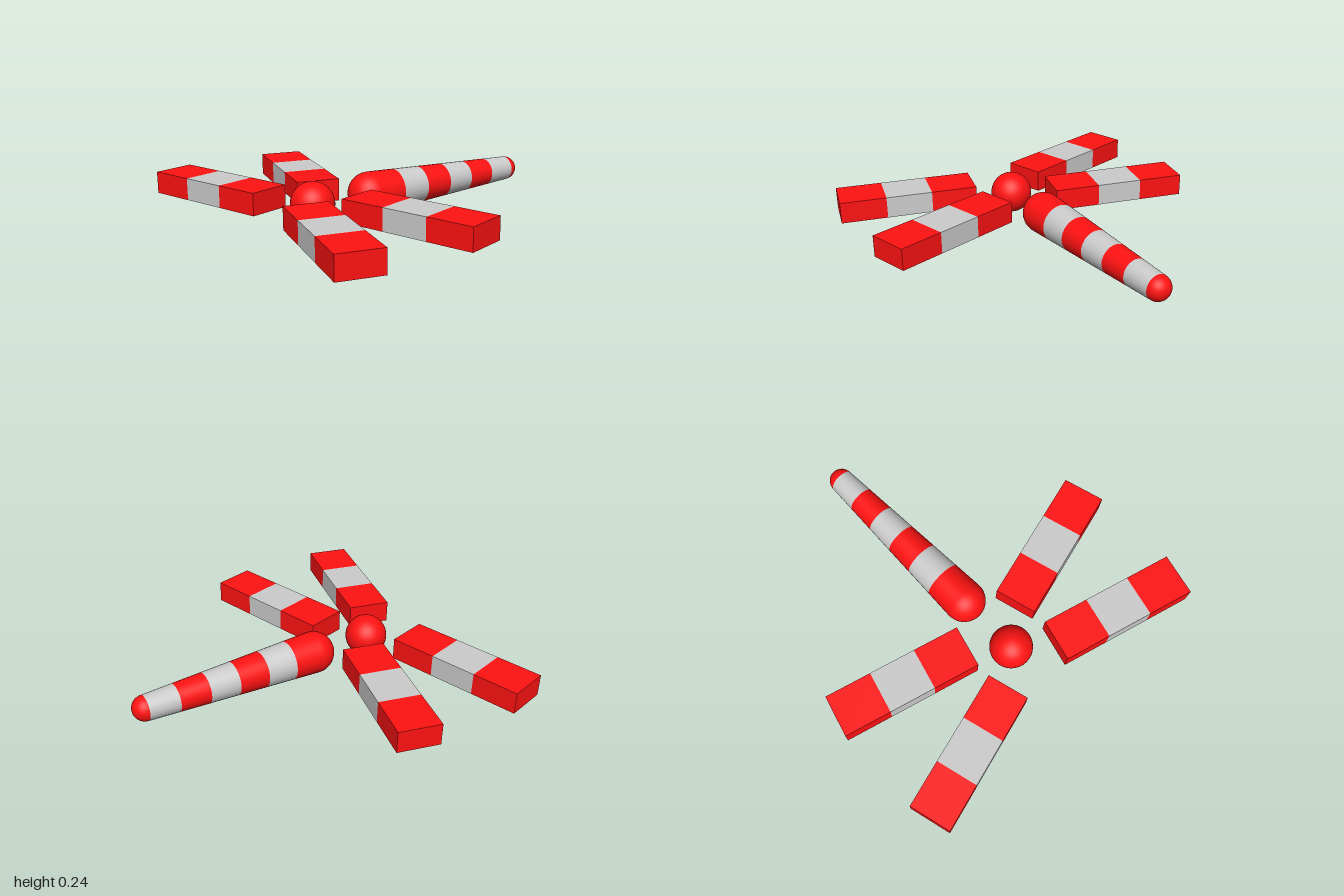
import * as THREE from 'three';

const red = new THREE.MeshStandardMaterial({ color: 0xff1212 });
const grey = new THREE.MeshStandardMaterial({ color: 0xcccccc });
const Y = 0.122; // shared height of all part centres

function addMesh(parent, name, geometry, material, x = 0, y = 0, z = 0) {
  const mesh = new THREE.Mesh(geometry, material);
  mesh.name = name;
  mesh.position.set(x, y, z);
  parent.add(mesh);
  return mesh;
}

// Tapered striped body with a rounded end at the chest and the tail
function createBody() {
  const body = new THREE.Group();
  body.name = 'body';
  const frontZ = 0.125, step = 0.175, count = 6, rFront = 0.122, rTail = 0.072;
  const radiusAt = (i) => rFront + (rTail - rFront) * i / count;
  for (let i = 0; i < count; i++) {
    const band = new THREE.CylinderGeometry(radiusAt(i), radiusAt(i + 1), step, 32, 1, true);
    band.rotateX(Math.PI / 2);
    addMesh(body, 'bodyBand' + (i + 1), band, i % 2 ? grey : red, 0, 0, frontZ - step * (i + 0.5));
  }
  const dome = (r, dir) =>
    new THREE.SphereGeometry(r, 32, 12, 0, Math.PI * 2, 0, Math.PI / 2).rotateX(dir * Math.PI / 2);
  addMesh(body, 'chestCap', dome(rFront, 1), red, 0, 0, frontZ);
  addMesh(body, 'tailCap', dome(rTail, -1), red, 0, 0, frontZ - step * count);
  body.position.y = Y;
  return body;
}

// Flat wing made of three equal blocks
function createWing(side, end) {
  const wing = new THREE.Group();
  wing.name = (side > 0 ? 'left' : 'right') + (end > 0 ? 'Front' : 'Back') + 'Wing';
  const block = new THREE.BoxGeometry(0.27, 0.127, 0.243);
  ['wingRoot', 'wingMiddle', 'wingTip'].forEach((name, i) =>
    addMesh(wing, name, block, i === 1 ? grey : red, side * (i - 1) * 0.27));
  wing.position.set(side * 0.579, 0.126, 0.5 + end * 0.2625);
  wing.rotation.y = -side * end * Math.PI / 12;
  return wing;
}

export function createModel() {
  const model = new THREE.Group();
  model.name = 'dragonfly';
  addMesh(model, 'head', new THREE.SphereGeometry(0.122, 32, 20), red, 0, Y, 0.5);
  model.add(createBody());
  for (const side of [-1, 1]) for (const end of [-1, 1]) model.add(createWing(side, end));
  return model;
}
